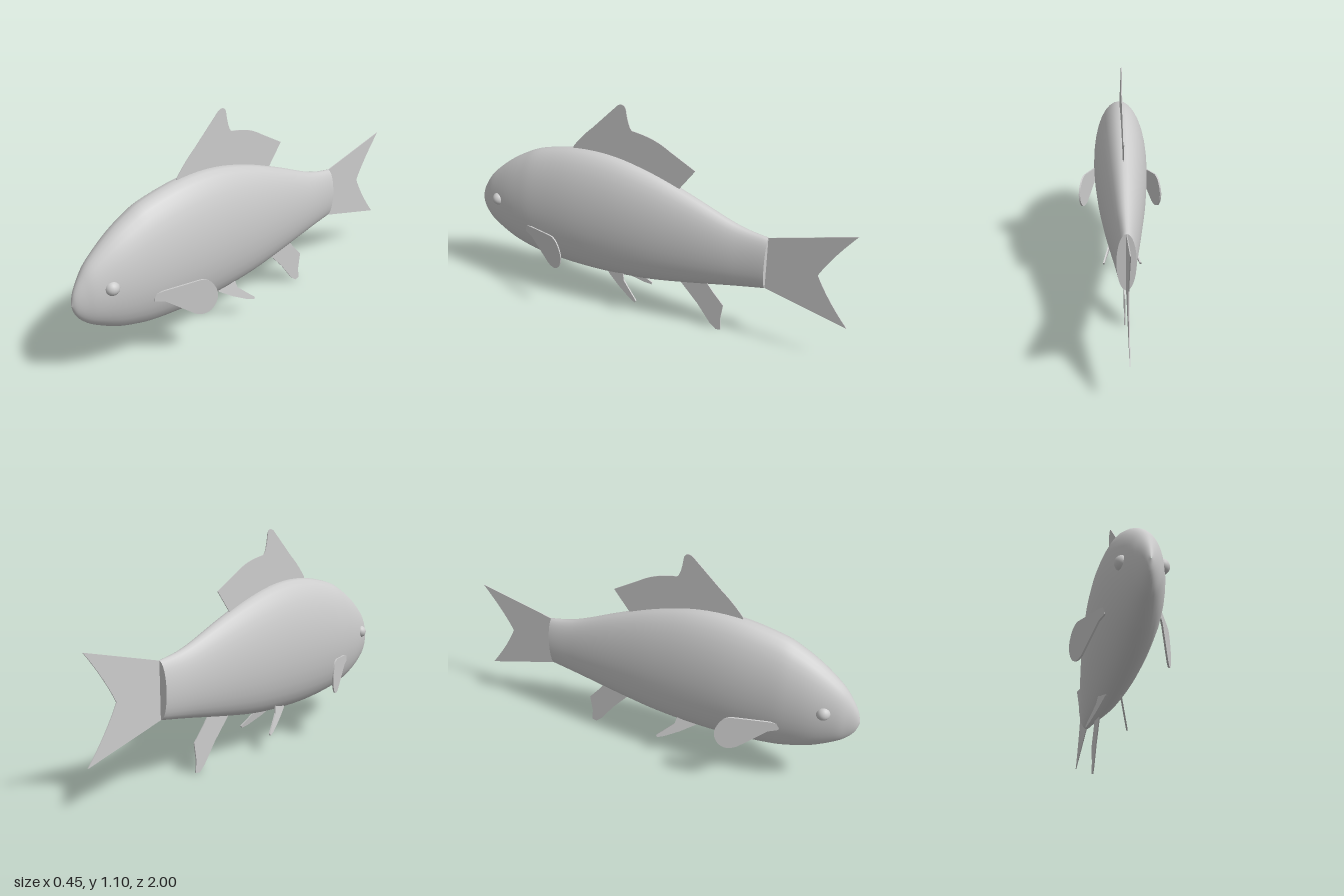
import * as THREE from 'three';

const skin = new THREE.MeshStandardMaterial({ color: 0xcccccc });
skin.name = 'pale grey';

function add(group, name, geometry) {
  const mesh = new THREE.Mesh(geometry, skin);
  mesh.name = name;
  group.add(mesh);
  return mesh;
}

// Body stations from nose to tail root: z, top, bottom, half width
const stations = [
  [1, 0.445, 0.44, 0.002], [0.985, 0.5, 0.39, 0.022], [0.95, 0.56, 0.345, 0.046],
  [0.9, 0.62, 0.308, 0.072], [0.8, 0.7, 0.256, 0.103], [0.7, 0.76, 0.224, 0.122],
  [0.6, 0.802, 0.204, 0.132], [0.4, 0.84, 0.188, 0.138], [0.2, 0.836, 0.19, 0.131],
  [0, 0.79, 0.206, 0.115], [-0.2, 0.718, 0.24, 0.092], [-0.4, 0.635, 0.28, 0.066],
  [-0.5, 0.603, 0.299, 0.053], [-0.6, 0.585, 0.317, 0.043],
];

// Loft of ellipses through the smoothed stations
function bodyGeometry(rings = 52, sides = 32) {
  const spline = (pick) => new THREE.CatmullRomCurve3(stations.map(pick), false, 'catmullrom');
  const upper = spline(([z, t, b, w]) => new THREE.Vector3(w, t, z));
  const lower = spline(([z, t, b]) => new THREE.Vector3(0, b, z));
  const positions = [], index = [];
  for (let i = 0; i <= rings; i++) {
    const u = upper.getPoint(i / rings), l = lower.getPoint(i / rings);
    const cy = (u.y + l.y) / 2, ry = (u.y - l.y) / 2;
    for (let j = 0; j < sides; j++) {
      const a = (j / sides) * Math.PI * 2;
      positions.push(u.x * Math.cos(a), cy + ry * Math.sin(a), u.z);
      if (i === rings) continue;
      const p = i * sides + j, q = i * sides + ((j + 1) % sides);
      index.push(p, p + sides, q, q, p + sides, q + sides);
    }
  }
  const g = new THREE.BufferGeometry();
  g.setAttribute('position', new THREE.Float32BufferAttribute(positions, 3));
  g.setIndex(index);
  g.computeVertexNormals();
  return g;
}

// Thin plate from a side outline (z, y); lean gives its sideways offset
function finGeometry(shape, thickness, lean = () => 0) {
  const g = new THREE.ExtrudeGeometry(shape, { depth: thickness, bevelEnabled: false, curveSegments: 10 });
  g.translate(0, 0, -thickness / 2).rotateY(-Math.PI / 2);
  const p = g.attributes.position;
  for (let i = 0; i < p.count; i++) p.setX(i, p.getX(i) + lean(p.getZ(i), p.getY(i)));
  g.computeVertexNormals();
  return g;
}

function outline(points) {
  return new THREE.Shape(points.map(([z, y]) => new THREE.Vector2(z, y)));
}

export function createModel() {
  const fish = new THREE.Group();
  fish.name = 'fish';

  add(fish, 'body', bodyGeometry());
  const cap = add(fish, 'tailRootCap', new THREE.CircleGeometry(1, 32));
  cap.scale.set(0.043, 0.134, 1);
  cap.rotation.y = Math.PI;
  cap.position.set(0, 0.451, -0.6);

  // Dorsal fin
  const dorsal = new THREE.Shape();
  dorsal.moveTo(0.42, 0.82);
  dorsal.lineTo(0.42, 0.845);
  dorsal.quadraticCurveTo(0.37, 0.91, 0.31, 0.96);
  dorsal.lineTo(0.17, 1.095);
  dorsal.quadraticCurveTo(0.14, 1.115, 0.127, 1.085);
  dorsal.quadraticCurveTo(0.115, 0.995, 0.095, 0.982);
  dorsal.bezierCurveTo(0.02, 0.97, -0.03, 0.96, -0.1, 0.915);
  dorsal.lineTo(-0.23, 0.842);
  dorsal.lineTo(-0.15, 0.735);
  dorsal.lineTo(-0.13, 0.71);
  dorsal.lineTo(0.1, 0.76);
  add(fish, 'dorsalFin', finGeometry(dorsal, 0.004));

  // Forked tail fin
  const tail = new THREE.Shape();
  tail.moveTo(-0.58, 0.58);
  tail.lineTo(-0.6, 0.585);
  tail.lineTo(-1, 0.69);
  tail.quadraticCurveTo(-0.895, 0.56, -0.842, 0.453);
  tail.quadraticCurveTo(-0.895, 0.34, -1, 0.21);
  tail.lineTo(-0.6, 0.317);
  tail.lineTo(-0.58, 0.322);
  add(fish, 'tailFin', finGeometry(tail, 0.004));

  // Anal fin
  const anal = outline([
    [-0.13, 0.27], [-0.16, 0.24], [-0.26, 0.13], [-0.33, 0.035], [-0.365, 0.005],
    [-0.39, 0.01], [-0.385, 0.07], [-0.397, 0.155], [-0.34, 0.22], [-0.305, 0.265], [-0.3, 0.3],
  ]);
  add(fish, 'analFin', finGeometry(anal, 0.005));

  const pectoral = new THREE.Shape();
  pectoral.moveTo(0.66, 0.37);
  pectoral.lineTo(0.66, 0.405);
  pectoral.lineTo(0.617, 0.413);
  pectoral.lineTo(0.46, 0.43);
  pectoral.quadraticCurveTo(0.425, 0.43, 0.405, 0.395);
  pectoral.quadraticCurveTo(0.37, 0.335, 0.405, 0.28);
  pectoral.quadraticCurveTo(0.435, 0.235, 0.49, 0.262);
  pectoral.lineTo(0.617, 0.36);

  const pelvic = outline([
    [0.24, 0.225], [0.22, 0.195], [0.15, 0.15], [0.075, 0.112], [0.04, 0.101],
    [0.034, 0.112], [0.06, 0.135], [0.12, 0.19], [0.13, 0.235],
  ]);

  // Paired fins and eyes
  for (const [side, s] of [['left', 1], ['right', -1]]) {
    add(fish, side + 'PectoralFin', finGeometry(pectoral, 0.008, (z) => s * (0.13 + (0.617 - z) * 0.39)));
    add(fish, side + 'PelvicFin', finGeometry(pelvic, 0.008,
      (z, y) => s * (0.034 - 0.17 * (y - 0.19) - 0.253 * (z - 0.22))));
    const eye = add(fish, side + 'Eye', new THREE.SphereGeometry(0.033, 20, 14));
    eye.position.set(s * 0.078, 0.5, 0.845);
  }
  return fish;
}
